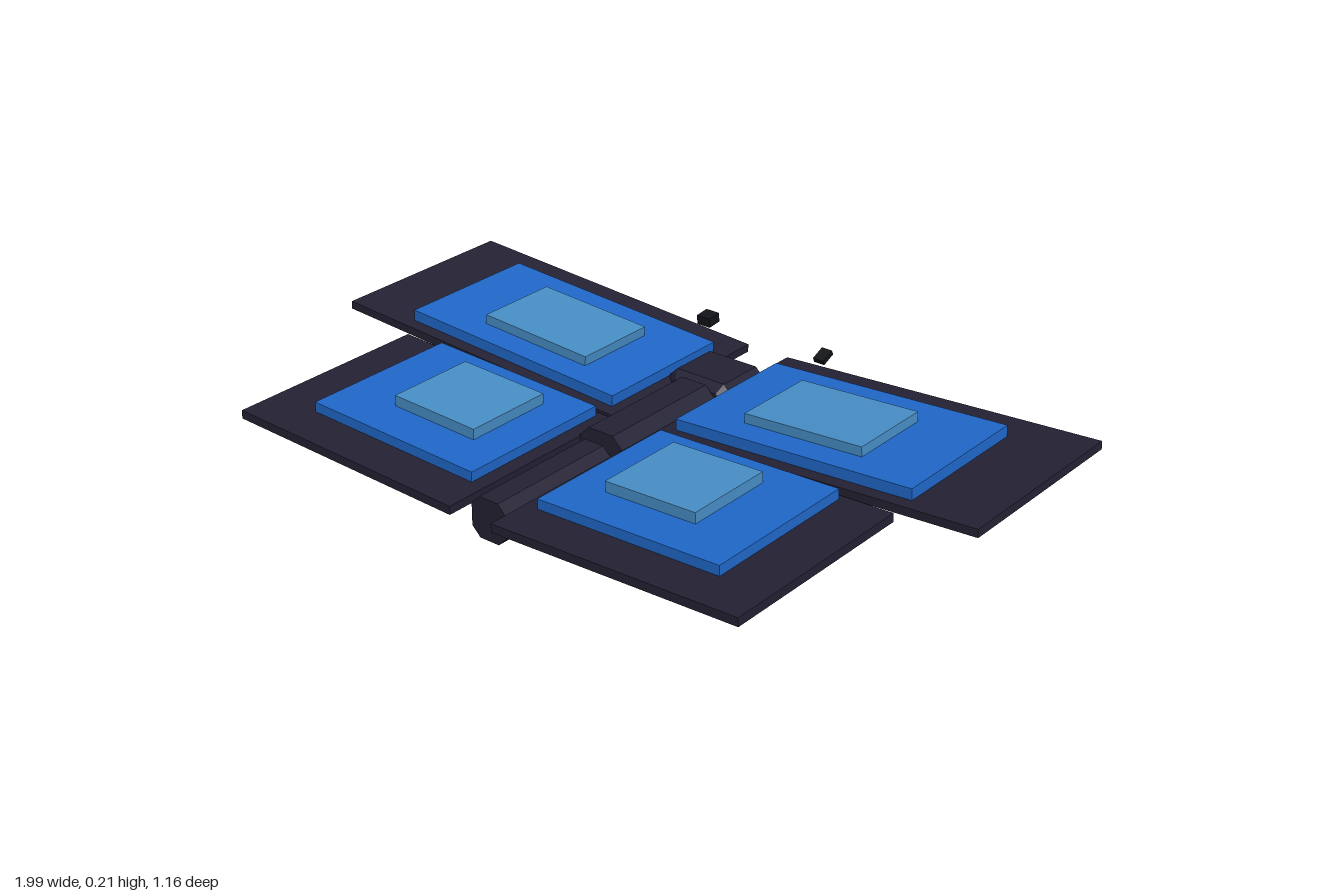
import * as THREE from 'three';

const mat = (name, color) => {
  const m = new THREE.MeshStandardMaterial({ color });
  m.name = name;
  return m;
};

// Rectangular cross-section with cut corners
function cutRect(w, h, c) {
  const x = w / 2, y = h / 2;
  return new THREE.Shape([
    [-x + c, -y], [x - c, -y], [x, -y + c], [x, y - c],
    [x - c, y], [-x + c, y], [-x, y - c], [-x, -y + c],
  ].map(([a, b]) => new THREE.Vector2(a, b)));
}

// Prism along z between z0 and z1, optionally bevelled at both ends
function prism(name, material, w, h, cut, z0, z1, y, bevel = 0) {
  const geo = new THREE.ExtrudeGeometry(cutRect(w - 2 * bevel, h - 2 * bevel, cut), {
    depth: z1 - z0 - 2 * bevel,
    bevelEnabled: bevel > 0, bevelSize: bevel, bevelThickness: bevel, bevelSegments: 1,
  });
  const mesh = new THREE.Mesh(geo, material);
  mesh.name = name;
  mesh.position.set(0, y, z0 + bevel);
  return mesh;
}

export function createModel() {
  const dark = mat('dark shell', 0x242234);
  const blue = mat('blue scales', 0x2069cc);
  const pale = mat('pale blue scales', 0x4890c8);
  const black = mat('antenna black', 0x13151a);

  const model = new THREE.Group();
  model.name = 'butterfly';
  const insect = new THREE.Group();
  insect.name = 'insect';
  insect.position.x = -0.005;
  model.add(insect);

  // Body
  insect.add(
    prism('abdomen', dark, 0.108, 0.11, 0.025, 0.135, 0.515, 0.08),
    prism('thorax', dark, 0.136, 0.134, 0.03, -0.26, 0.11, 0.087),
    prism('head', dark, 0.2, 0.157, 0.012, -0.445, -0.265, 0.0785, 0.022),
  );

  // Stacked wing layers: [name, material, x0, x1, z0, z1, thickness]
  const wings = [
    {
      name: 'ForeWing', root: 0.065, base: 0.102, slope: 0.06,
      layers: [
        ['membrane', dark, 0.065, 0.995, -0.578, -0.02, 0.022],
        ['bluePatch', blue, 0.105, 0.795, -0.475, -0.057, 0.03],
        ['palePatch', pale, 0.26, 0.605, -0.375, -0.133, 0.026],
      ],
    },
    {
      name: 'HindWing', root: 0.065, base: 0.1, slope: 0.035,
      layers: [
        ['membrane', dark, 0.065, 0.775, -0.012, 0.578, 0.023],
        ['bluePatch', blue, 0.105, 0.635, 0.005, 0.46, 0.027],
        ['palePatch', pale, 0.21, 0.475, 0.085, 0.34, 0.029],
      ],
    },
  ];

  for (const side of [1, -1]) {
    const sideName = side > 0 ? 'left' : 'right';
    for (const { name, root, base, slope, layers } of wings) {
      const wing = new THREE.Group();
      wing.name = sideName + name;
      wing.position.set(side * root, base, 0);
      wing.rotation.z = side * Math.atan(slope);
      let y = 0;
      for (const [part, material, x0, x1, z0, z1, t] of layers) {
        const mesh = new THREE.Mesh(new THREE.BoxGeometry(x1 - x0, t, z1 - z0), material);
        mesh.name = part;
        mesh.position.set(side * ((x0 + x1) / 2 - root), y + t / 2, (z0 + z1) / 2);
        wing.add(mesh);
        y += t;
      }
      insect.add(wing);
    }

    // Antenna tips: a slim tilted rod on the left, a small block on the right
    const size = side > 0 ? [0.032, 0.014, 0.042] : [0.042, 0.026, 0.042];
    const antenna = new THREE.Mesh(new THREE.BoxGeometry(...size), black);
    antenna.name = sideName + 'Antenna';
    antenna.position.set(side * 0.188, 0.17, -0.562);
    antenna.rotation.x = side > 0 ? 0.4 : 0.1;
    insect.add(antenna);
  }

  return model;
}
